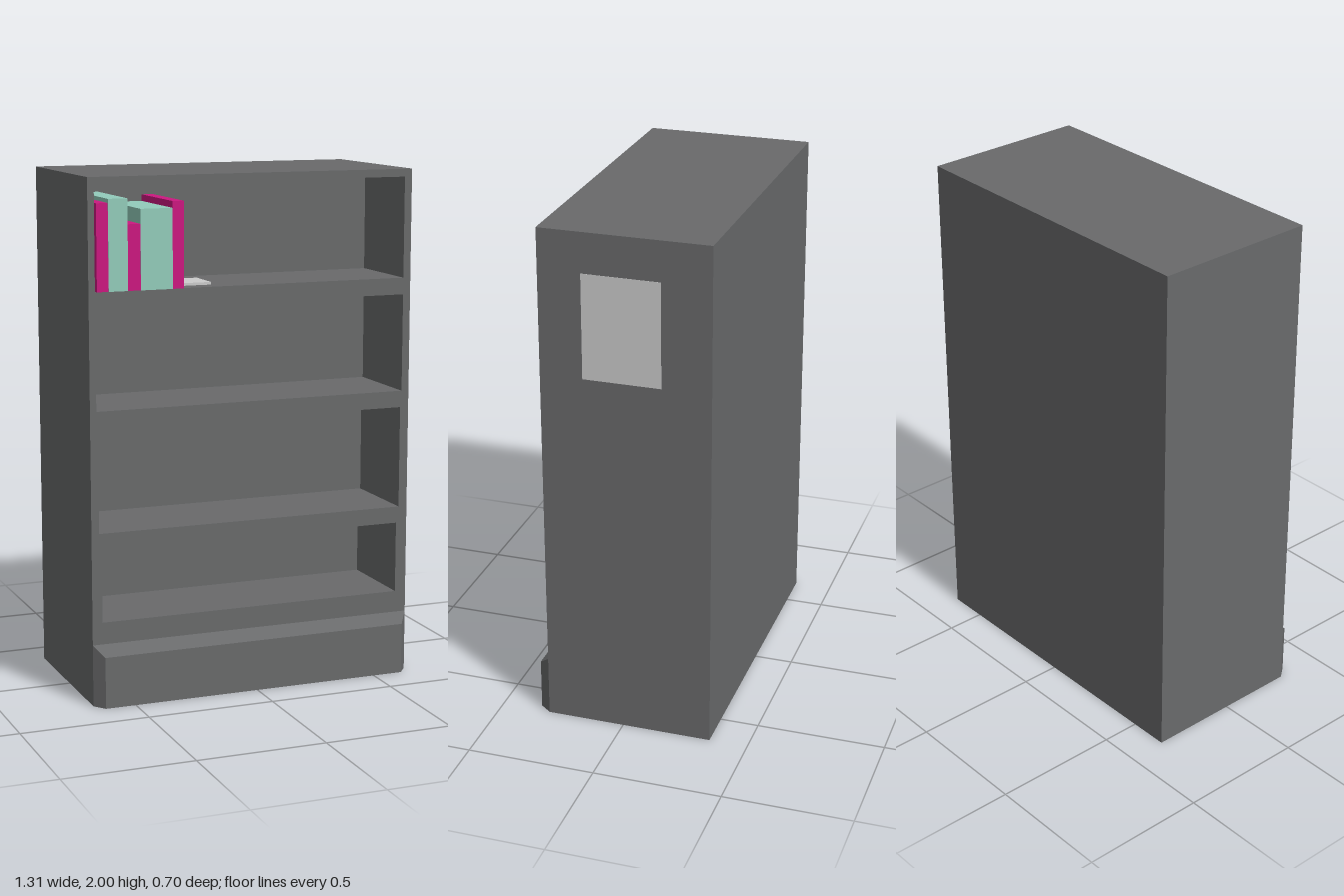
import * as THREE from 'three';

const grey = (color) => new THREE.MeshStandardMaterial({ color, flatShading: true });

export function createModel() {
  const model = new THREE.Group();
  const bodyMat = grey(0x696a6b);
  const lightMat = grey(0xcccccc);
  const pinkMat = grey(0xcc1880);
  const tealMat = grey(0x93ccbb);

  const add = (name, geometry, material, parent = model) => {
    const mesh = new THREE.Mesh(geometry, material);
    mesh.name = name;
    parent.add(mesh);
    return mesh;
  };
  // Box given by its minimum and maximum corners
  const box = (name, [x0, y0, z0], [x1, y1, z1], material, parent) =>
    add(name, new THREE.BoxGeometry(x1 - x0, y1 - y0, z1 - z0), material, parent)
      .position.set((x0 + x1) / 2, (y0 + y1) / 2, (z0 + z1) / 2);
  const rect = (Type, x0, y0, x1, y1) => new Type([
    new THREE.Vector2(x0, y0), new THREE.Vector2(x1, y0),
    new THREE.Vector2(x1, y1), new THREE.Vector2(x0, y1),
  ]);

  const W = 0.655, FRONT = 0.305, BACK = -0.35, INNER = -0.05;

  // Shelf front with four openings
  const face = rect(THREE.Shape, -W, 0, W, 2);
  const openings = [
    [-0.63, 1.58, 0.625, 1.97],
    [-0.63, 1.135, 0.625, 1.515],
    [-0.625, 0.67, 0.62, 1.07],
    [-0.615, 0.325, 0.61, 0.605],
  ];
  for (const o of openings) face.holes.push(rect(THREE.Path, ...o));
  add('shelfFrame', new THREE.ExtrudeGeometry(face, { depth: FRONT - INNER, bevelEnabled: false }), bodyMat)
    .position.z = INNER;

  // Solid back of the case
  box('caseBack', [-W, 0, BACK], [W, 2, INNER], bodyMat);

  // Plinth: a box tapered towards its front at the sides and top
  const plinth = new THREE.BoxGeometry(1, 1, 1).toNonIndexed();
  const p = plinth.attributes.position;
  for (let i = 0; i < p.count; i++) {
    const front = p.getZ(i) > 0;
    p.setXYZ(i,
      Math.sign(p.getX(i)) * (front ? 0.62 : W),
      p.getY(i) < 0 ? 0 : front ? 0.2 : 0.24,
      front ? 0.35 : FRONT);
  }
  plinth.computeVertexNormals();
  add('plinth', plinth, bodyMat);

  // Panel on the left side
  box('sidePanel', [W - 0.01, 1.44, -0.16], [W + 0.001, 1.845, 0.14], lightMat);

  // Row of books: left edge, right edge, top, front, material
  const books = new THREE.Group();
  books.name = 'books';
  model.add(books);
  [
    [-0.625, -0.58, 1.905, 0.313, pinkMat],
    [-0.58, -0.505, 1.92, 0.315, tealMat],
    [-0.505, -0.455, 1.825, 0.313, pinkMat],
    [-0.455, -0.33, 1.88, 0.315, tealMat],
    [-0.33, -0.285, 1.905, 0.313, pinkMat],
  ].forEach(([x0, x1, top, front, mat], i) =>
    box(`book${i + 1}`, [x0, 1.58, -0.03], [x1, top, front], mat, books));

  // Bookend: upright plate with clipped top corners, and a flat foot
  const bookend = new THREE.Group();
  bookend.name = 'bookend';
  model.add(bookend);
  const h = 0.175, w = 0.075, c = 0.02;
  const plate = new THREE.Shape([
    [-w, 0], [w, 0], [w, h - c], [w - c, h], [c - w, h], [-w, h - c],
  ].map(([x, y]) => new THREE.Vector2(x, y)));
  const upright = add('bookendPlate',
    new THREE.ExtrudeGeometry(plate, { depth: 0.013, bevelEnabled: false }), lightMat, bookend);
  upright.rotation.y = Math.PI / 2;
  upright.position.set(-0.284, 1.58, 0.165);
  box('bookendFoot', [-0.284, 1.58, 0.09], [-0.15, 1.59, 0.24], lightMat, bookend);

  return model;
}
